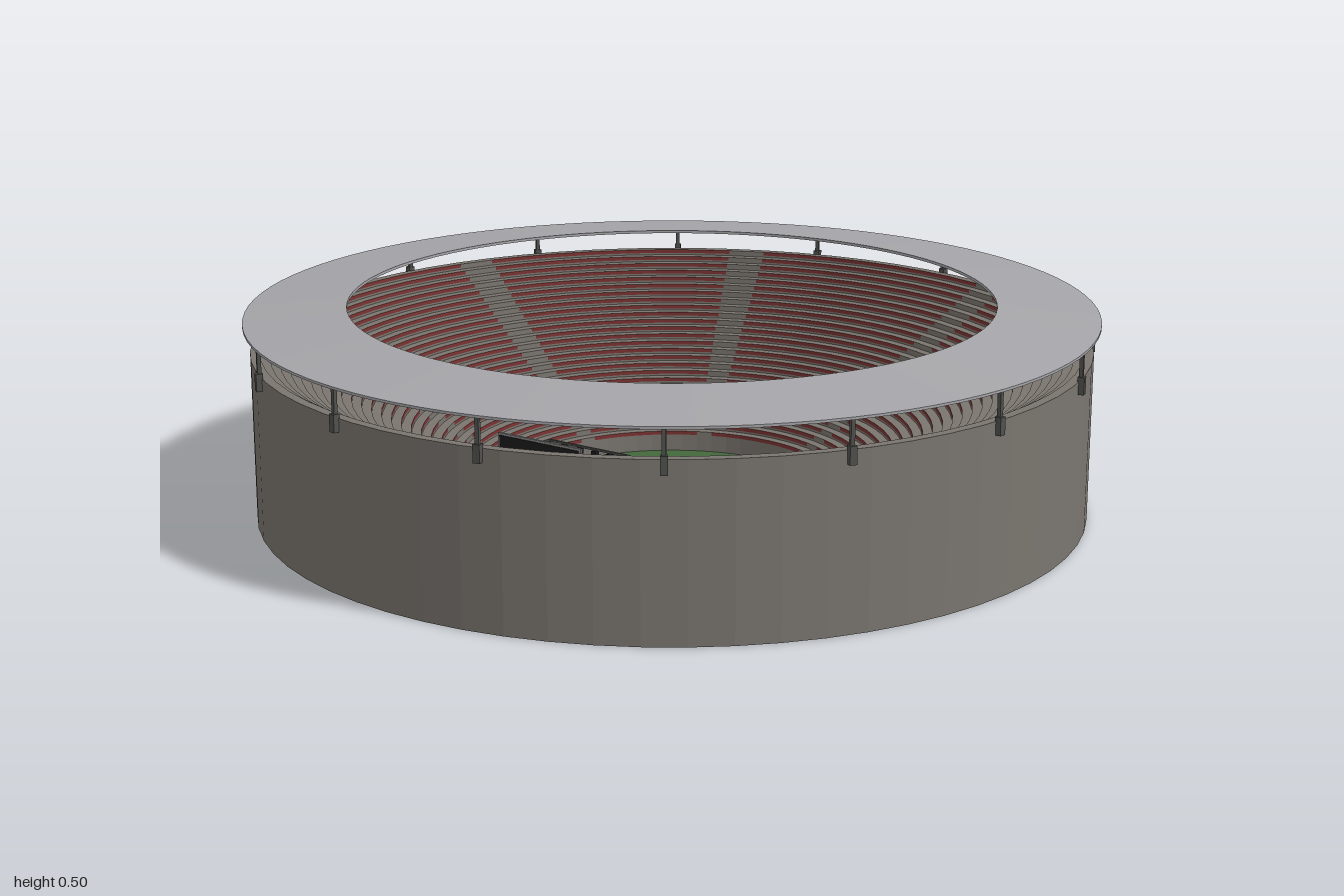
import * as THREE from 'three';
import { mergeGeometries } from 'three/addons/utils/BufferGeometryUtils.js';

const SIDES = 64;
const STEP = (Math.PI * 2) / SIDES;

const mat = (name, color, flat = true) => {
  const m = new THREE.MeshStandardMaterial({ color, side: THREE.DoubleSide, flatShading: flat });
  m.name = name;
  return m;
};

// Conical or cylindrical strip between two radius/height pairs, over a run of sides
function band(r1, y1, r2, y2, first = 0.5, count = SIDES) {
  const pts = [new THREE.Vector2(r1, y1), new THREE.Vector2(r2, y2)];
  return new THREE.LatheGeometry(pts, count, first * STEP, count * STEP);
}

export function createModel() {
  const model = new THREE.Group();
  model.name = 'stadium';

  const concrete = mat('concrete', 0x7a756f);
  const roofGrey = mat('roof grey', 0xa5a5a9);
  const grass = mat('grass green', 0x43683b);
  const seatRed = mat('seat red', 0x7c3232);
  const black = mat('black', 0x1c1c1c);
  const steel = mat('dark steel', 0x50504e);
  const frameGrey = mat('frame grey', 0x8c8c8c);

  const add = (name, geometry, material, parent = model) => {
    const mesh = new THREE.Mesh(geometry, material);
    mesh.name = name;
    parent.add(mesh);
    return mesh;
  };
  const box = (name, w, h, d, x, y, z, material, parent) => {
    const mesh = add(name, new THREE.BoxGeometry(w, h, d), material, parent);
    mesh.position.set(x, y, z);
    return mesh;
  };

  // Outer wall and pitch
  add('outerWall', band(0.985, 0, 0.985, 0.4), concrete);
  const pitch = new THREE.CircleGeometry(0.39, SIDES).rotateX(-Math.PI / 2);
  add('pitch', pitch, grass).position.y = 0.003;

  // Stepped stands: grey treads and aisles, red seat rows in eight blocks
  const rows = 26, rIn = 0.39, yIn = 0.04;
  const run = (0.985 - rIn) / rows, rise = (0.4 - yIn) / rows;
  const grey = [band(rIn, 0, rIn, yIn)], red = [];
  for (let i = 0; i < rows; i++) {
    const r = rIn + i * run, y = yIn + i * rise;
    const mid = y + rise * 0.35, top = y + rise;
    grey.push(band(r, y, r, mid), band(r, top, r + run, top));
    for (let k = 0; k < 8; k++) {
      grey.push(band(r, mid, r, top, 3.5 + k * 8, 1));
      red.push(band(r, mid, r, top, 4.5 + k * 8, 7));
    }
  }
  add('stands', mergeGeometries(grey), concrete);
  add('seatRows', mergeGeometries(red), seatRed);

  // Ring roof with a thin closed section
  const roofProfile = [[0.76, 0.489], [1, 0.467], [1, 0.473], [0.76, 0.496], [0.76, 0.489]];
  add('roof', new THREE.LatheGeometry(
    roofProfile.map(([r, y]) => new THREE.Vector2(r, y)), 96), roofGrey);

  // Roof posts with thicker brackets on the wall
  for (let i = 0; i < 16; i++) {
    const a = (i + 0.5) * Math.PI / 8;
    const post = new THREE.Group();
    post.name = 'roofPost';
    post.rotation.y = a;
    box('postShaft', 0.009, 0.09, 0.009, 0, 0.425, 0.988, steel, post);
    box('postBracket', 0.016, 0.04, 0.016, 0, 0.39, 0.989, steel, post);
    model.add(post);
  }

  // Concert stage
  const stage = new THREE.Group();
  stage.name = 'stage';
  model.add(stage);
  const deckY = 0.125;
  box('stageDeck', 0.23, deckY - 0.004, 0.19, 0, deckY / 2 + 0.002, 0.425, concrete, stage);
  box('stageBase', 0.23, 0.003, 0.19, 0, 0.0015, 0.425, black, stage);

  // Video screen with a pale frame
  box('screenFrame', 0.23, 0.185, 0.006, 0, 0.18, 0.516, frameGrey, stage);
  box('screenFace', 0.22, 0.175, 0.002, 0, 0.18, 0.512, black, stage);
  box('screenBack', 0.22, 0.175, 0.002, 0, 0.18, 0.52, black, stage);

  // Lighting truss
  const trussTop = 0.21;
  for (const s of [-1, 1]) {
    for (const z of [0.335, 0.475]) {
      box('trussLeg', 0.005, trussTop - deckY, 0.005, s * 0.112, (trussTop + deckY) / 2, z, steel, stage);
    }
    box('trussSideBar', 0.005, 0.005, 0.14, s * 0.112, trussTop, 0.405, steel, stage);
  }
  for (const z of [0.335, 0.475]) {
    box('trussCrossBar', 0.229, 0.005, 0.005, 0, trussTop, z, steel, stage);
  }
  for (const x of [-0.065, -0.022, 0.022, 0.065]) {
    box('stageLight', 0.014, 0.014, 0.012, x, trussTop - 0.009, 0.34, black, stage);
    box('floorMonitor', 0.018, 0.01, 0.012, x, deckY + 0.005, 0.342, black, stage);
  }

  // Speaker stacks either side of the stage
  for (const s of [-1, 1]) {
    box('upperSpeaker', 0.018, 0.05, 0.018, s * 0.14, 0.165, 0.338, black, stage);
    box('lowerSpeaker', 0.018, 0.07, 0.018, s * 0.14, 0.038, 0.338, black, stage);
    box('speakerPole', 0.005, 0.18, 0.005, s * 0.14, 0.1, 0.338, steel, stage);
  }

  // Instruments: drum kit, keyboard and microphone
  for (const [x, z, r, h] of [[-0.1, 0.44, 0.012, 0.02], [-0.078, 0.435, 0.01, 0.024], [-0.09, 0.456, 0.014, 0.016]]) {
    add('drum', new THREE.CylinderGeometry(r, r, h, 12), black, stage).position.set(x, deckY + h / 2, z);
  }
  box('drumRiser', 0.05, 0.004, 0.046, -0.09, deckY + 0.002, 0.445, black, stage);
  box('keyboard', 0.036, 0.006, 0.012, 0.088, deckY + 0.022, 0.461, black, stage);
  box('keyboardStand', 0.024, 0.02, 0.004, 0.088, deckY + 0.01, 0.461, steel, stage);
  box('microphoneStand', 0.003, 0.035, 0.003, 0, deckY + 0.0175, 0.36, black, stage);

  return model;
}
